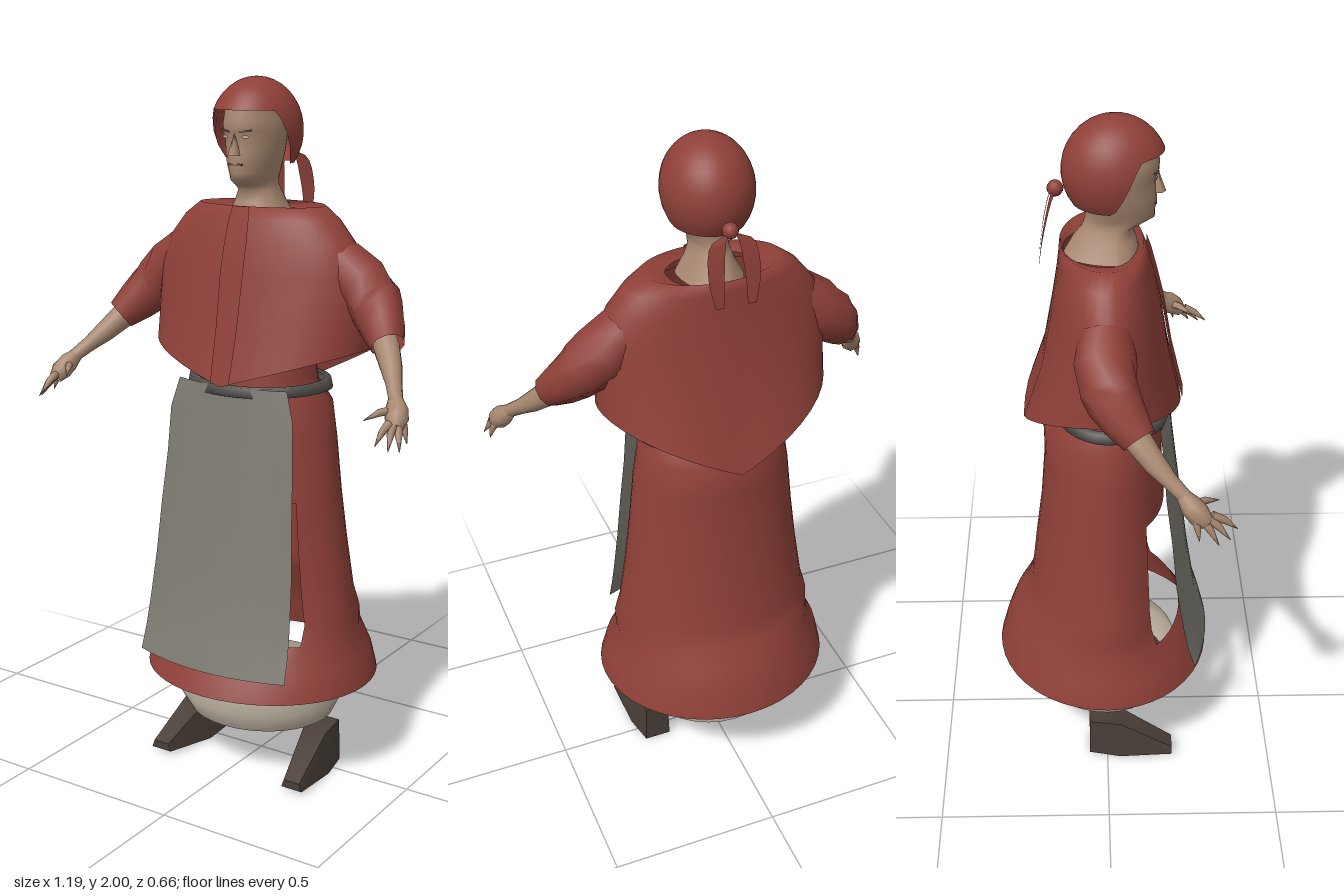
import * as THREE from 'three';

const mat = (name, color) => {
  const m = new THREE.MeshStandardMaterial({ color, side: THREE.DoubleSide });
  m.name = name;
  return m;
};

// Grid surface from fn(u, v) -> [x, y, z]; u may wrap round, skip(i, j) leaves openings
function grid(nu, nv, fn, closed = false, skip = () => false) {
  const pos = [], idx = [], cols = closed ? nu : nu + 1;
  for (let j = 0; j <= nv; j++)
    for (let i = 0; i < cols; i++) pos.push(...fn(i / nu, j / nv, j));
  for (let j = 0; j < nv; j++)
    for (let i = 0; i < nu; i++) {
      if (skip(i, j)) continue;
      const a = j * cols + i, b = j * cols + (i + 1) % cols, c = a + cols, d = b + cols;
      idx.push(a, c, b, b, c, d);
    }
  const g = new THREE.BufferGeometry();
  g.setAttribute('position', new THREE.Float32BufferAttribute(pos, 3));
  g.setIndex(idx);
  g.computeVertexNormals();
  return g;
}

// Point of an oval ring [y, halfWidth, zFront, zBack]; angle 0 faces the front
function ring([y, rx, zf, zb], a, z0 = 0) {
  const c = Math.cos(a);
  return [rx * Math.sin(a), y, z0 + c * (c > 0 ? zf - z0 : z0 - zb)];
}

const loft = (rows, n = 32, z0 = 0, skip) =>
  grid(n, rows.length - 1, (u, v, j) => ring(rows[j], u * Math.PI * 2, z0), true, skip);

// Round limb with a radius at each step along a curve
function limb(points, radii, n = 10) {
  const curve = new THREE.CatmullRomCurve3(points.map(p => new THREE.Vector3(...p)));
  const up = new THREE.Vector3(0, 1, 0);
  return grid(n, radii.length - 1, (u, v, j) => {
    const t = curve.getTangent(v), a = -u * Math.PI * 2;
    const s = t.clone().cross(up).normalize(), w = t.clone().cross(s);
    return curve.getPoint(v).addScaledVector(s, Math.cos(a) * radii[j])
      .addScaledVector(w, Math.sin(a) * radii[j]).toArray();
  }, true);
}

export function createModel() {
  const model = new THREE.Group();
  const red = mat('red cloth', 0x8f4038), grey = mat('grey apron cloth', 0x7e7b72);
  const cream = mat('cream linen', 0xb8ae9d), skin = mat('skin', 0xa88870);
  const dark = mat('dark leather', 0x483e37), beltGrey = mat('belt grey', 0x504f4a);
  const lip = mat('lip', 0x704f43);
  const add = (name, geo, m, parent = model) => {
    const mesh = new THREE.Mesh(geo, m);
    mesh.name = name;
    parent.add(mesh);
    return mesh;
  };

  // Petticoat: open band below the skirt
  add('petticoat', loft([[0.275, 0.228, 0.215, -0.2], [0.21, 0.253, 0.235, -0.21],
    [0.15, 0.222, 0.2, -0.212]]), cream);

  // Skirt: open at the front behind the apron, closed again at the hem
  const skirtRows = [
    [1.16, 0.185, 0.15, -0.13], [1.1, 0.215, 0.16, -0.18], [1.0, 0.232, 0.16, -0.178],
    [0.84, 0.248, 0.17, -0.19], [0.7, 0.265, 0.18, -0.208], [0.55, 0.288, 0.19, -0.225],
    [0.49, 0.305, 0.2, -0.245], [0.43, 0.3, 0.225, -0.285], [0.36, 0.335, 0.275, -0.31],
    [0.285, 0.352, 0.31, -0.33]];
  add('skirt', loft(skirtRows, 44, 0, (i, j) => j >= 3 && j <= 6 && (i < 6 || i >= 38)), red);

  // Bodice under the cape
  add('bodice', loft([[1.62, 0.16, 0.07, -0.1], [1.5, 0.2, 0.1, -0.1], [1.35, 0.19, 0.13, -0.1],
    [1.25, 0.17, 0.14, -0.09], [1.15, 0.182, 0.15, -0.12]]), red);

  // Belt, dipping a little at the front
  const belt = add('belt', loft([[1.172, 0.195, 0.165, -0.13], [1.172, 0.215, 0.185, -0.15],
    [1.145, 0.22, 0.19, -0.155], [1.145, 0.2, 0.17, -0.13]]), beltGrey);
  belt.rotation.x = 0.03;
  belt.position.z = -0.035;

  // Apron: sheet hanging clear of the skirt, [y, half width, middle z, edge z]
  const apronRows = [[1.165, 0.18, 0.18, 0.145], [1.08, 0.205, 0.188, 0.155],
    [0.95, 0.212, 0.205, 0.165], [0.8, 0.222, 0.225, 0.185], [0.65, 0.232, 0.245, 0.2],
    [0.5, 0.241, 0.27, 0.225], [0.43, 0.245, 0.292, 0.24], [0.36, 0.248, 0.31, 0.262]];
  add('apron', grid(12, apronRows.length - 1, (u, v, j) => {
    const [y, w, zm, ze] = apronRows[j], s = u * 2 - 1;
    return [s * w - 0.003, y, zm + (ze - zm) * s * s];
  }), grey);

  // Cape: shoulders, then a hem that falls to a point at front and back
  const capeRows = [[1.635, 0.125, 0.08, -0.115], [1.655, 0.195, 0.1, -0.125],
    [1.62, 0.245, 0.112, -0.128], [1.56, 0.295, 0.128, -0.135], [1.48, 0.328, 0.148, -0.148],
    [1.37, 0.332, 0.175, -0.18], [1.27, 0.332, 0.21, -0.235]];
  const capePoint = (j, a) => {
    const p = ring(capeRows[j], a);
    p[1] -= [0, 0, 0, 0, 0.02, 0.5, 1][j] * (1 - Math.abs(Math.sin(a))) * (Math.cos(a) > 0 ? 0.1 : 0.16);
    return p;
  };
  add('cape', grid(40, 6, (u, v, j) => capePoint(j, u * Math.PI * 2), true), red);
  // Overlapping front edge of the cape
  add('capeFrontEdge', grid(2, 5, (u, v, j) => {
    const p = capePoint(j + 1, (u - 0.5) * (0.2 + 0.1 * (1 - v)));
    return [p[0] + 0.002, p[1], p[2] + 0.004 + 0.006 * u];
  }), red);

  // Arms: sleeve, forearm and spread fingers
  const fingers = [[0.587, 1.095, 0.225], [0.592, 1.085, 0.275], [0.575, 1.09, 0.305],
    [0.548, 1.105, 0.325], [0.49, 1.155, 0.28]];
  for (const side of [1, -1]) {
    const arm = new THREE.Group();
    arm.name = side > 0 ? 'leftArm' : 'rightArm';
    arm.scale.x = side;
    add('sleeve', limb([[0.25, 1.51, -0.005], [0.35, 1.42, -0.005], [0.39, 1.375, 0.02], [0.447, 1.31, 0.075]],
      [0.07, 0.082, 0.078, 0.072, 0.062, 0.046]), red, arm);
    add('forearm', limb([[0.41, 1.345, 0.04], [0.48, 1.26, 0.115], [0.535, 1.195, 0.19]],
      [0.034, 0.036, 0.03, 0.022, 0.019]), skin, arm);
    add('palm', limb([[0.53, 1.2, 0.183], [0.552, 1.165, 0.215], [0.563, 1.135, 0.245]],
      [0.019, 0.03, 0.031, 0.02], 8), skin, arm);
    fingers.forEach((tip, k) => {
      const root = k < 4 ? [0.568 - k * 0.006, 1.15, 0.215 + k * 0.014] : [0.54, 1.175, 0.205];
      const mid = root.map((r, n) => (r + tip[n]) / 2 + (n === 1 ? 0.006 : 0));
      add('finger', limb([root, mid, tip], [0.012, 0.01, 0.001], 6), skin, arm);
    });
    model.add(arm);
  }

  // Head and neck
  add('head', loft([[1.93, 0.074, 0.128, -0.06], [1.88, 0.081, 0.138, -0.07], [1.855, 0.081, 0.137, -0.07],
    [1.835, 0.079, 0.127, -0.07], [1.8, 0.074, 0.13, -0.065], [1.77, 0.067, 0.133, -0.058],
    [1.745, 0.06, 0.128, -0.055], [1.725, 0.052, 0.128, -0.055], [1.71, 0.05, 0.1, -0.06],
    [1.695, 0.055, 0.068, -0.066], [1.665, 0.064, 0.08, -0.09], [1.62, 0.09, 0.09, -0.115]], 28, 0.02), skin);
  const nose = add('nose', new THREE.ConeGeometry(0.017, 0.06, 6), skin);
  nose.scale.z = 1.3;
  nose.position.set(0, 1.823, 0.134);
  for (const s of [1, -1]) {
    const eye = add('eye', new THREE.CircleGeometry(0.011, 12), cream);
    eye.scale.y = 0.4;
    eye.position.set(s * 0.032, 1.842, 0.129);
    eye.rotation.y = s * 0.3;
    const brow = add('brow', new THREE.BoxGeometry(0.034, 0.005, 0.006), lip);
    brow.position.set(s * 0.032, 1.857, 0.129);
    brow.rotation.set(0, s * 0.3, s * 0.12);
  }
  add('mouth', new THREE.BoxGeometry(0.042, 0.006, 0.008), lip).position.set(0, 1.768, 0.128);

  // Cap: dome cut away round the face
  add('cap', grid(48, 12, (u, v) => {
    const a = u * Math.PI * 2, zSide = 0.022 + 0.14 * Math.cos(a);
    const edge = THREE.MathUtils.lerp(1.768, 1.912, THREE.MathUtils.smoothstep(zSide, 0.005, 0.1));
    const phi = v * Math.acos((edge - 1.855) / 0.145), r = Math.sin(phi);
    return [0.124 * r * Math.sin(a), 1.855 + 0.145 * Math.cos(phi), 0.022 + 0.14 * r * Math.cos(a)];
  }, true), red);

  // Tie at the back of the cap: knot and two hanging ribbons
  add('knot', new THREE.SphereGeometry(0.022, 12, 8), red).position.set(0, 1.803, -0.133);
  for (const s of [1, -1]) {
    const path = new THREE.CatmullRomCurve3([[0, 1.8, -0.135], [0.035, 1.785, -0.145],
      [0.05, 1.7, -0.165], [0.045, 1.61, -0.178]].map(p => new THREE.Vector3(s * p[0], p[1], p[2])));
    add('ribbon', grid(1, 10, (u, v) => {
      const p = path.getPoint(v), w = 0.012 + 0.012 * Math.sin(v * Math.PI);
      return [p.x + (u * 2 - 1) * w, p.y + (0.5 - u) * s * 0.02 * (1 - v), p.z];
    }), red);
  }

  // Shoes: wedges narrowing upward and tapering to the toe, turned outward
  for (const s of [1, -1]) {
    const geo = new THREE.BoxGeometry(1, 1, 1, 1, 1, 2), p = geo.attributes.position;
    for (let i = 0; i < p.count; i++) {
      const k = Math.round((p.getZ(i) + 0.5) * 2), top = p.getY(i) > 0;
      const half = top ? [0.036, 0.038, 0.026][k] : [0.04, 0.05, 0.034][k];
      p.setXYZ(i, p.getX(i) * 2 * half + [0.205, 0.212, 0.232][k],
        top ? [0.13, 0.125, 0.035][k] : [0.004, 0, 0.012][k], [-0.055, 0.04, 0.2][k]);
    }
    geo.computeVertexNormals();
    add(s > 0 ? 'leftShoe' : 'rightShoe', geo, dark).scale.x = s;
  }
  return model;
}
